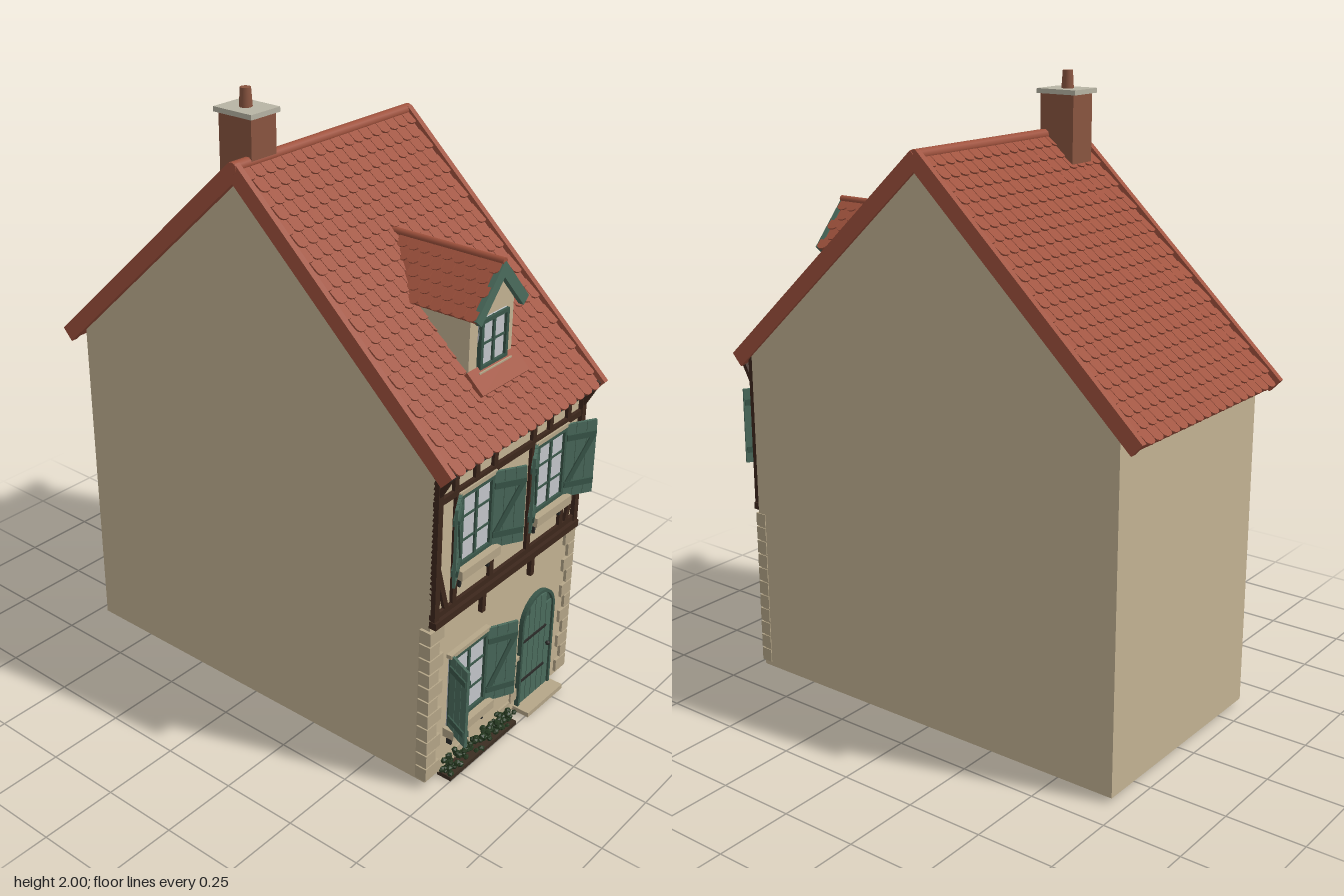
import * as THREE from 'three';
import { mergeGeometries } from 'three/addons/utils/BufferGeometryUtils.js';

const COLORS = {
  plaster: 0xc4b393, inner: 0xa08468, tile: 0xa0523d, timber: 0x3d271c, green: 0x4b6c5d, darkGreen: 0x3a574a,
  glass: 0xc3c6cb, stone: 0xb5a688, iron: 0x2a2a28, brick: 0x8a5540, cap: 0xb8b4a4, leaf: 0x24371f, soil: 0x3a2d22,
};
const mats = {};
for (const k in COLORS) mats[k] = new THREE.MeshStandardMaterial({ color: COLORS[k], flatShading: k === 'leaf' });

function add(parent, name, geo, mat) {
  const m = new THREE.Mesh(geo, mats[mat]);
  m.name = name;
  parent.add(m);
  return m;
}
// Box given by its limits on each axis
function box(parent, name, mat, x0, x1, y0, y1, z0, z1) {
  const m = add(parent, name, new THREE.BoxGeometry(x1 - x0, y1 - y0, z1 - z0), mat);
  m.position.set((x0 + x1) / 2, (y0 + y1) / 2, (z0 + z1) / 2);
  return m;
}
// Straight beam between two points of the facade
function beam(parent, name, mat, ax, ay, bx, by, width, z0, z1) {
  const m = add(parent, name, new THREE.BoxGeometry(Math.hypot(bx - ax, by - ay), width, z1 - z0), mat);
  m.position.set((ax + bx) / 2, (ay + by) / 2, (z0 + z1) / 2);
  m.rotation.z = Math.atan2(by - ay, bx - ax);
  return m;
}
const extrude = (shape, depth) => new THREE.ExtrudeGeometry(shape, { depth, bevelEnabled: false, curveSegments: 10 });
const poly = (pts) => new THREE.Shape(pts.map(([x, y]) => new THREE.Vector2(x, y)));
function group(parent, name) {
  const g = new THREE.Group();
  g.name = name;
  parent.add(g);
  return g;
}

// Round-ended roof tile, lying in xz, its lower end towards +z and slightly lifted
function tileGeometry(w, len) {
  const s = new THREE.Shape();
  s.moveTo(w / 2, 0);
  s.lineTo(w / 2, len - w * 0.3);
  s.quadraticCurveTo(w * 0.4, len, 0, len);
  s.quadraticCurveTo(-w * 0.4, len, -w / 2, len - w * 0.3);
  s.lineTo(-w / 2, 0);
  return new THREE.ExtrudeGeometry(s, { depth: 0.006, bevelEnabled: false, curveSegments: 3 })
    .rotateX(Math.PI / 2).rotateX(-0.11);
}

const RIDGE = 1.805, PITCH = Math.atan2(0.715, 0.77), SLOPE = 1.045;

function roofSide(parent, name, turn) {
  const outer = group(parent, name);
  outer.position.y = RIDGE;
  outer.rotation.y = turn;
  const g = group(outer, 'slope');
  g.rotation.x = PITCH;
  box(g, 'roofBoard', 'tile', -0.39, 0.39, -0.03, 0, 0, SLOPE);
  const tiles = [], rows = 22, step = SLOPE / rows, w = 0.043;
  for (let r = 0; r < rows; r++) {
    const n = 18 - (r % 2);
    for (let i = 0; i < n; i++)
      tiles.push(tileGeometry(w - 0.002, 0.07).translate((i - (n - 1) / 2) * w, 0.003, (r + 1) * step - 0.06));
  }
  add(g, 'roofTiles', mergeGeometries(tiles), 'tile');
  for (const s of [-1, 1]) box(g, 'verge', 'tile', s * 0.39 - 0.01, s * 0.39 + 0.01, -0.035, 0.017, 0, SLOPE + 0.005);
  return g;
}

function windowUnit(parent, x0, x1, y0, y1, z, rows) {
  const g = group(parent, 'window'), f = 0.012, cx = (x0 + x1) / 2;
  box(g, 'glass', 'glass', x0, x1, y0, y1, z - 0.01, z + 0.005);
  for (const x of [x0, x1 - f]) box(g, 'frameSide', 'darkGreen', x, x + f, y0, y1, z, z + 0.014);
  for (const y of [y0, y1 - f]) box(g, 'frameRail', 'darkGreen', x0, x1, y, y + f, z, z + 0.014);
  box(g, 'mullion', 'darkGreen', cx - 0.005, cx + 0.005, y0, y1, z, z + 0.011);
  for (let i = 1; i < rows; i++) {
    const y = y0 + (y1 - y0) * i / rows;
    box(g, 'glazingBar', 'darkGreen', x0, x1, y - 0.003, y + 0.003, z, z + 0.009);
  }
  return g;
}

// Hinged plank shutter; side gives the direction it opens
function shutter(parent, x, y0, y1, side, w, angle) {
  const g = group(parent, 'shutter');
  g.position.set(x, 0, 0.712);
  g.rotation.y = -side * angle;
  const X = (a, b) => (side > 0 ? [a, b] : [-b, -a]);
  for (let i = 0; i < 3; i++) {
    const [a, b] = X(i * w / 3 + 0.001, (i + 1) * w / 3 - 0.001);
    box(g, 'shutterPlank', 'green', a, b, y0, y1, 0, 0.009);
  }
  const [a, b] = X(0.004, w - 0.004), lo = y0 + 0.045, hi = y1 - 0.045;
  for (const y of [lo, hi]) box(g, 'shutterRail', 'darkGreen', a, b, y - 0.01, y + 0.01, -0.005, 0.015);
  beam(g, 'shutterBrace', 'darkGreen', side * 0.01, lo, side * (w - 0.01), hi, 0.016, 0.005, 0.014);
}

function archShape(r, base, spring) {
  const s = new THREE.Shape();
  s.moveTo(-r, base);
  s.lineTo(r, base);
  s.lineTo(r, spring);
  s.absarc(0, spring, r, 0, Math.PI, false);
  return s;
}

export function createModel() {
  const house = group(new THREE.Group(), 'house');
  const L = -0.37, R = 0.39, B = 0.015, T = 0.045, Z = 0.705, E = 1.11;

  // Hollow walls, with a cross wall and a floor in the front room
  const walls = group(house, 'walls');
  for (const x of [L, R - T]) {
    const gable = add(walls, 'gableWall', extrude(poly([[-Z, B], [Z, B], [Z, E], [0, 1.775], [-Z, E]]), T), 'plaster');
    gable.rotation.y = Math.PI / 2;
    gable.position.x = x;
  }
  box(walls, 'frontWall', 'plaster', L + T, R - T, B, E, Z - T, Z);
  box(walls, 'backWall', 'plaster', L + T, R - T, B, E, -Z, -Z + T);
  box(walls, 'crossWall', 'inner', L + T, R - T, B, E, 0.22, 0.25);
  box(walls, 'floor', 'timber', L + T, R - T, B, B + 0.02, 0.22, Z - T);

  // Main roof
  const roof = group(house, 'roof');
  const front = roofSide(roof, 'frontRoof', 0);
  roofSide(roof, 'backRoof', Math.PI);
  box(front, 'dormerApron', 'tile', -0.11, 0.125, 0, 0.02, 0.82, 0.9);
  const ridge = add(roof, 'ridgeTiles', new THREE.CylinderGeometry(0.018, 0.018, 0.8, 10), 'tile');
  ridge.rotation.z = Math.PI / 2;
  ridge.position.set(-0.002, 1.803, 0);
  box(roof, 'gutter', 'iron', -0.385, 0.385, 1.083, 1.1, 0.735, 0.765);

  // Chimney
  const chimney = group(house, 'chimney');
  box(chimney, 'stack', 'brick', -0.335, -0.232, 1.7, 1.93, -0.108, 0.016);
  box(chimney, 'cap', 'cap', -0.343, -0.224, 1.93, 1.945, -0.12, 0.025);
  add(chimney, 'pot', new THREE.CylinderGeometry(0.016, 0.02, 0.06, 14), 'brick').position.set(-0.284, 1.97, -0.05);

  // Dormer
  const dormer = group(house, 'dormer');
  dormer.position.x = 0.01;
  add(dormer, 'dormerWalls', extrude(poly([[-0.107, 1.2], [0.107, 1.2], [0.107, 1.425], [0, 1.54], [-0.107, 1.425]]), 0.34), 'plaster')
    .position.z = 0.27;
  windowUnit(dormer, -0.068, 0.068, 1.25, 1.405, 0.61, 2);
  box(dormer, 'dormerSill', 'stone', -0.08, 0.08, 1.235, 1.25, 0.6, 0.632);
  const DP = Math.atan2(0.145, 0.13), DL = 0.19;
  for (const s of [-1, 1]) {
    const g = group(dormer, 'dormerSlope');
    g.position.y = 1.567;
    g.rotation.z = -s * DP;
    add(g, 'dormerRoofBoard', extrude(poly([[0, 0.24], [s * DL, 0.39], [s * DL, 0.64], [0, 0.64]]), 0.016).rotateX(Math.PI / 2), 'tile');
    const tiles = [];
    for (let r = 0; r < 5; r++) {
      const u = (r + 1) * DL / 5;
      for (let z = 0.622 - (r % 2) * 0.02; z > 0.26 + u * 0.75; z -= 0.04)
        tiles.push(tileGeometry(0.038, 0.045).rotateY(s * Math.PI / 2).translate(s * (u - 0.04), 0.003, z));
    }
    add(g, 'dormerTiles', mergeGeometries(tiles), 'tile');
    box(g, 'bargeboard', 'green', Math.min(0, s * DL), Math.max(0, s * DL), -0.03, 0.004, 0.628, 0.646);
  }
  const cap = add(dormer, 'dormerRidge', new THREE.CylinderGeometry(0.011, 0.011, 0.4, 8), 'tile');
  cap.rotation.x = Math.PI / 2;
  cap.position.set(0, 1.57, 0.445);

  // Timber framing of the upper floor
  const frame = group(house, 'timberFrame'), F = 0.72;
  box(frame, 'sillBeam', 'timber', L, R, 0.575, 0.598, Z - 0.005, F + 0.005);
  box(frame, 'lowerRail', 'timber', L, R, 0.602, 0.62, Z - 0.005, F - 0.004);
  box(frame, 'topPlate', 'timber', L, R, 1.075, 1.105, Z - 0.005, F);
  box(frame, 'lintelRail', 'timber', L, R, 0.975, 0.995, Z - 0.005, F - 0.003);
  for (const x of [L + 0.011, R - 0.011]) box(frame, 'cornerPost', 'timber', x - 0.011, x + 0.011, 0.6, 1.09, Z - 0.01, F);
  for (const x of [-0.27, -0.085, 0.11, 0.295]) box(frame, 'windowPost', 'timber', x - 0.01, x + 0.01, 0.61, 0.99, Z - 0.005, F - 0.004);
  for (const x of [-0.28, -0.18, -0.09, 0.11, 0.2, 0.3]) box(frame, 'upperStud', 'timber', x - 0.01, x + 0.01, 0.985, 1.085, Z - 0.005, F - 0.004);
  for (const s of [-1, 1]) beam(frame, 'cornerBrace', 'timber', 0.01 + s * 0.36, 0.76, 0.01 + s * 0.315, 0.61, 0.018, Z - 0.005, F - 0.004);
  for (const x of [-0.12, 0.14]) box(frame, 'beamBracket', 'timber', x - 0.009, x + 0.009, 0.51, 0.58, Z - 0.005, F);
  for (const x of [L + 0.011, R - 0.011]) {
    const strut = add(frame, 'eaveStrut', new THREE.BoxGeometry(0.016, 0.12, 0.014), 'timber');
    strut.position.set(x, 1.05, 0.735);
    strut.rotation.x = 0.5;
  }

  // Windows with sills and shutters: x0, x1, y0, y1, left and right shutter angles
  for (const [x0, x1, y0, y1, al, ar] of [
    [-0.262, -0.1, 0.735, 0.97, 0.5, 0.5], [0.123, 0.285, 0.735, 0.97, 0.5, 0.5], [-0.272, -0.09, 0.172, 0.425, 1.15, 0.45],
  ]) {
    windowUnit(house, x0, x1, y0, y1, Z + 0.003, 3);
    box(house, 'windowHead', 'stone', x0 - 0.01, x1 + 0.01, y1, y1 + 0.013, Z - 0.005, Z + 0.018);
    box(house, 'windowSill', 'stone', x0 - 0.015, x1 + 0.015, y0 - 0.03, y0, Z - 0.005, 0.745);
    for (const x of [x0 + 0.01, x1 - 0.01]) box(house, 'sillBracket', 'iron', x - 0.004, x + 0.004, y0 - 0.07, y0 - 0.03, Z - 0.002, 0.722);
    shutter(house, x0, y0 - 0.01, y1 + 0.008, -1, 0.1, al);
    shutter(house, x1, y0 - 0.01, y1 + 0.008, 1, 0.108, ar);
  }

  // Arched plank door with strap hinges and a step
  const door = group(house, 'door'), r = 0.082, spring = 0.325;
  door.position.set(0.2, 0, Z - 0.003);
  add(door, 'doorPanel', extrude(archShape(r, B, spring), 0.008), 'darkGreen');
  const surround = archShape(r + 0.01, B, spring);
  surround.holes.push(archShape(r, B + 0.001, spring));
  add(door, 'doorFrame', extrude(surround, 0.018), 'darkGreen');
  for (let i = -2; i <= 2; i++) {
    const x = i * 0.032, top = spring + Math.sqrt(r * r - Math.min(r, Math.abs(x) + 0.014) ** 2);
    box(door, 'doorPlank', 'green', x - 0.0145, x + 0.0145, B, top, 0, 0.013);
  }
  for (const y of [0.115, 0.265]) box(door, 'strapHinge', 'iron', -0.08, 0.05, y - 0.004, y + 0.004, 0.01, 0.017);
  add(door, 'doorKnob', new THREE.SphereGeometry(0.008, 10, 8), 'iron').position.set(0.062, 0.19, 0.02);
  box(house, 'doorStep', 'stone', 0.1, 0.3, 0.008, 0.024, 0.69, 0.765);

  // Corner stones and foot stones
  const stones = group(house, 'cornerStones');
  for (let i = 0; i < 11; i++) {
    const y = 0.03 + i * 0.049, w = i % 2 ? 0.037 : 0.058;
    box(stones, 'cornerStone', 'stone', L - 0.01, L + w, y, y + 0.044, Z - 0.03, Z + 0.01);
    box(stones, 'cornerStone', 'stone', R - w + 0.005, R + 0.003, y, y + 0.044, Z - 0.03, Z + 0.01);
  }
  for (const [x, w, y] of [[-0.31, 0.06, 0.02], [-0.22, 0.07, 0.02], [0.01, 0.06, 0.02], [0.075, 0.035, 0.05]])
    box(stones, 'footStone', 'stone', x, x + w, y, y + 0.04, Z - 0.01, Z + 0.007);

  // Letter box
  box(house, 'letterBox', 'stone', 0.04, 0.082, 0.172, 0.222, Z, 0.722);
  box(house, 'letterBoxLid', 'stone', 0.035, 0.087, 0.222, 0.236, Z, 0.728);
  box(house, 'letterSlot', 'iron', 0.047, 0.075, 0.2, 0.206, Z, 0.724);

  // Low flower bed
  let seed = 7;
  const rnd = () => (seed = (seed * 16807) % 2147483647) / 2147483647;
  const leaves = [];
  for (let i = 0; i < 110; i++)
    leaves.push(new THREE.IcosahedronGeometry(0.009 + rnd() * 0.005, 0).rotateZ(rnd() * 3).scale(1, 0.8, 0.8)
      .translate(-0.3 + rnd() * 0.355, 0.012 + rnd() * 0.052, 0.712 + rnd() * 0.033));
  add(house, 'bedPlants', mergeGeometries(leaves), 'leaf');
  box(house, 'bedSoil', 'soil', -0.3, 0.055, 0, 0.014, 0.7, 0.75);

  return house.parent;
}
